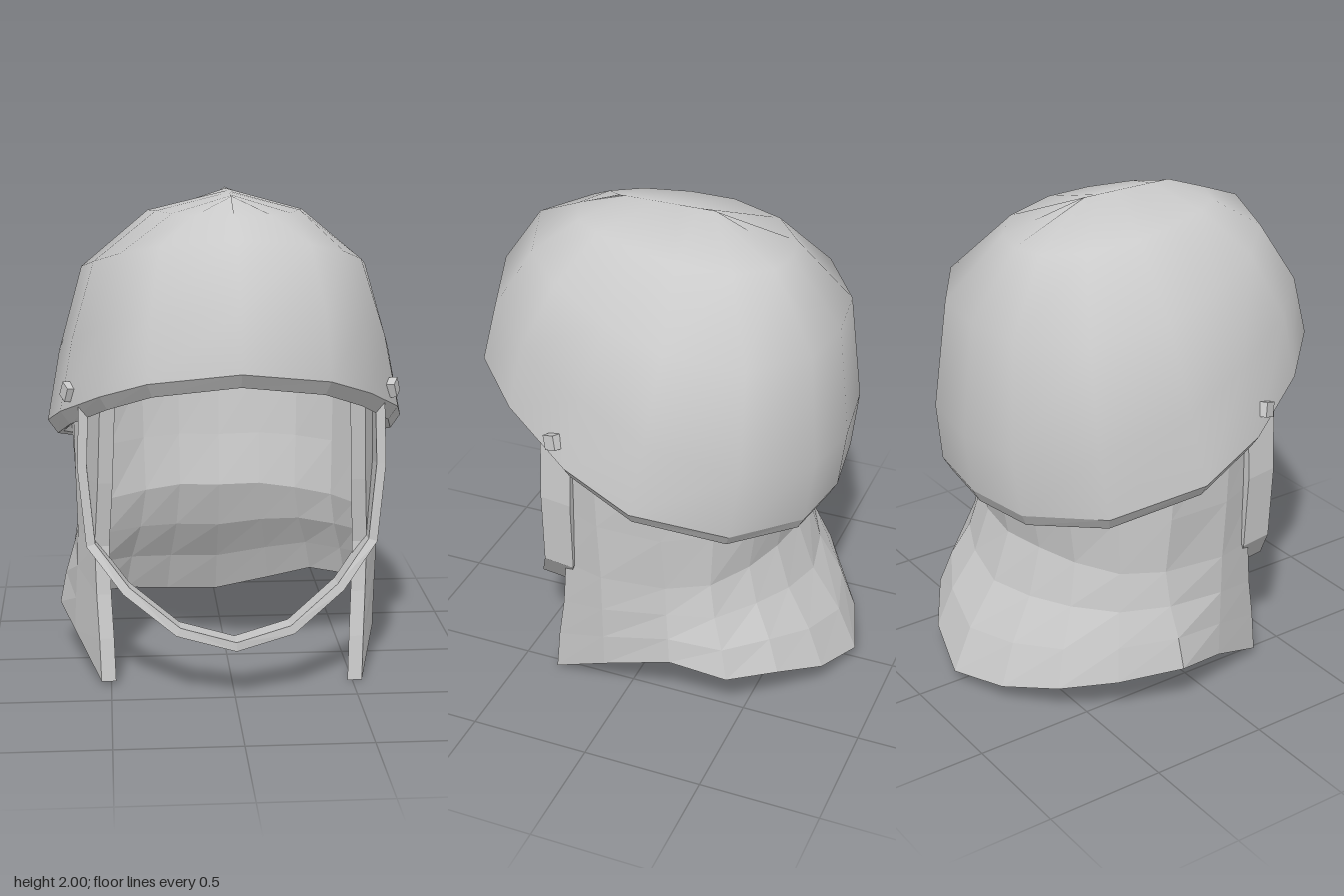
import * as THREE from 'three';
import { mergeVertices } from 'three/addons/utils/BufferGeometryUtils.js';

const lerp = THREE.MathUtils.lerp;

// Skin a list of closed rings; flat gives faceted normals, otherwise smooth.
function loft(rings, flat) {
  const n = rings[0].length, index = [];
  for (let r = 0; r < rings.length - 1; r++) {
    for (let i = 0; i < n; i++) {
      const j = (i + 1) % n;
      const a = r * n + i, b = r * n + j, c = b + n, d = a + n;
      index.push(a, b, c, a, c, d);
    }
  }
  let geo = new THREE.BufferGeometry();
  geo.setAttribute('position', new THREE.Float32BufferAttribute(rings.flat(2), 3));
  geo.setIndex(index);
  geo = flat ? geo.toNonIndexed() : mergeVertices(geo, 1e-4);
  geo.computeVertexNormals();
  return geo;
}

// Mirror a half outline whose last point lies on the centre plane.
const mirrorX = (half) => [
  ...half,
  ...half.slice(0, -1).reverse().map(([x, y, z]) => [-x, y, z]),
];

export function createModel() {
  const model = new THREE.Group();
  const grey = new THREE.MeshStandardMaterial({ color: 0xcacaca });
  grey.name = 'grey';
  const add = (name, geo) => {
    const mesh = new THREE.Mesh(geo, grey);
    mesh.name = name;
    model.add(mesh);
    return mesh;
  };

  // Helmet shell: one plan outline, scaled to each level of the dome
  const plan = [[0, 0.83], [0.35, 0.71], [0.53, 0.51], [0.69, 0.2],
    [0.75, -0.1], [0.61, -0.46], [0.31, -0.67], [0, -0.71]];
  // front z, front y, side x, side y, back z, back y, widening at the diagonals
  const levels = [
    [0.83, 1.40, 0.75, 1.03, -0.71, 0.87, 0],
    [0.77, 1.63, 0.675, 1.32, -0.74, 1.12, 0.08],
    [0.60, 1.87, 0.575, 1.67, -0.69, 1.59, 0.1],
    [0.43, 1.935, 0.31, 1.91, -0.48, 1.86, 0.08],
    [0.25, 2.00, 0.00, 2.00, -0.16, 2.00, 0],
  ];
  const outer = levels.map(([fz, fy, sx, sy, bz, by, widen]) => {
    const half = plan.map(([x, z]) => {
      const u = (z + 0.71) / 1.54, s = 0.396;
      // parabola through the back, side and front heights
      const y = by * (u - s) * (u - 1) / s
        + sy * u * (u - 1) / (s * (s - 1))
        + fy * u * (u - s) / (1 - s);
      const diagonal = Math.min(1, 2 * x / 0.75 * Math.abs(2 * u - 1));
      return [x / 0.75 * sx * (1 + widen * diagonal), y, lerp(bz, fz, u)];
    });
    return [...half, ...half.slice(1, -1).reverse().map(([x, y, z]) => [-x, y, z])];
  });
  const lower = outer[0].map(([x, y, z]) => [x * 0.945, y - 0.057, z * 0.955]);
  const innerRim = lower.map(([x, y, z]) => [x * 0.965, y + 0.01, z * 0.965]);
  const inner = outer.slice(1).map((ring) =>
    ring.map(([x, y, z]) => [x * 0.935, 1.05 + (y - 1.05) * 0.945, z * 0.935]));
  add('helmetShell', loft(outer));
  add('helmetRim', loft([innerRim, lower, outer[0]], true));
  add('helmetLining', loft([...inner.reverse(), innerRim]));

  // Neck guard: columns run from the left front edge round the back to the right
  const top = mirrorX([[0.53, 1.2, 0.37], [0.64, 1.16, 0.1], [0.66, 1.15, -0.18],
    [0.54, 1.16, -0.38], [0.38, 1.15, -0.52], [0.2, 1.14, -0.59], [0, 1.13, -0.62]]);
  const waist = mirrorX([[0.56, 0.58, 0.27], [0.63, 0.6, 0.08], [0.625, 0.62, -0.2],
    [0.535, 0.62, -0.36], [0.37, 0.63, -0.465], [0.2, 0.64, -0.525], [0, 0.63, -0.55]]);
  // the hem is cut lower on the right side
  const hem = [[0.54, 0, 0.34], [0.62, 0.15, 0.08], [0.66, 0.28, -0.23], [0.61, 0.22, -0.46],
    [0.46, 0.2, -0.63], [0.26, 0.12, -0.76], [0, 0.05, -0.83],
    [-0.25, 0.08, -0.75], [-0.46, 0.13, -0.61], [-0.61, 0.17, -0.42], [-0.715, 0.2, -0.17],
    [-0.65, 0.15, 0.06], [-0.54, 0.02, 0.34]];
  const blend = (p, q, t, e) => p.map((a, i) => a.map((v, k) =>
    lerp(v, q[i][k], k === 1 ? t : t ** e)));
  const rows = [hem, blend(waist, hem, 0.68, 0.9), blend(waist, hem, 0.36, 1.3),
    waist, blend(waist, top, 0.45, 0.75), top];
  const guardRings = rows.map((out) => {
    const inside = out.map(([x, y, z]) => {
      const dz = Math.min(z, 0), k = 0.06 / Math.hypot(x, dz);
      return [x - x * k, y, z - dz * k];
    });
    return [...out, ...inside.reverse()];
  });
  // close the edges by pinching each end ring onto its middle line
  const pinch = (ring) => ring.map((p, i) =>
    p.map((v, k) => (v + ring[ring.length - 1 - i][k]) / 2));
  add('neckGuard', loft([pinch(guardRings[0]), ...guardRings, pinch(guardRings[5])], true));

  // Chin strap: a flat band hanging from both sides
  const path = mirrorX([[0.595, 1.2, 0.27], [0.605, 0.92, 0.275], [0.575, 0.6, 0.285],
    [0.435, 0.43, 0.37], [0.23, 0.285, 0.465], [0, 0.235, 0.515]]);
  const strapRings = path.map(([x, y, z], i) => {
    const p = path[Math.max(i - 1, 0)], q = path[Math.min(i + 1, path.length - 1)];
    const len = Math.hypot(q[0] - p[0], q[1] - p[1]);
    const nx = -(q[1] - p[1]) / len, ny = (q[0] - p[0]) / len;
    return [[1, -1], [1, 1], [-1, 1], [-1, -1]].map(([o, w]) =>
      [x + nx * o * 0.019, y + ny * o * 0.019 + w * 0.008, z + w * 0.064]);
  });
  add('chinStrap', loft(strapRings, true));

  // Strap studs on both sides of the shell
  for (const s of [1, -1]) {
    const stud = add(s > 0 ? 'leftStud' : 'rightStud', new THREE.BoxGeometry(0.035, 0.06, 0.06));
    stud.position.set(s * 0.658, 1.225, 0.26);
    stud.rotation.set(0.35, s * -0.35, s * 0.25);
  }
  return model;
}
